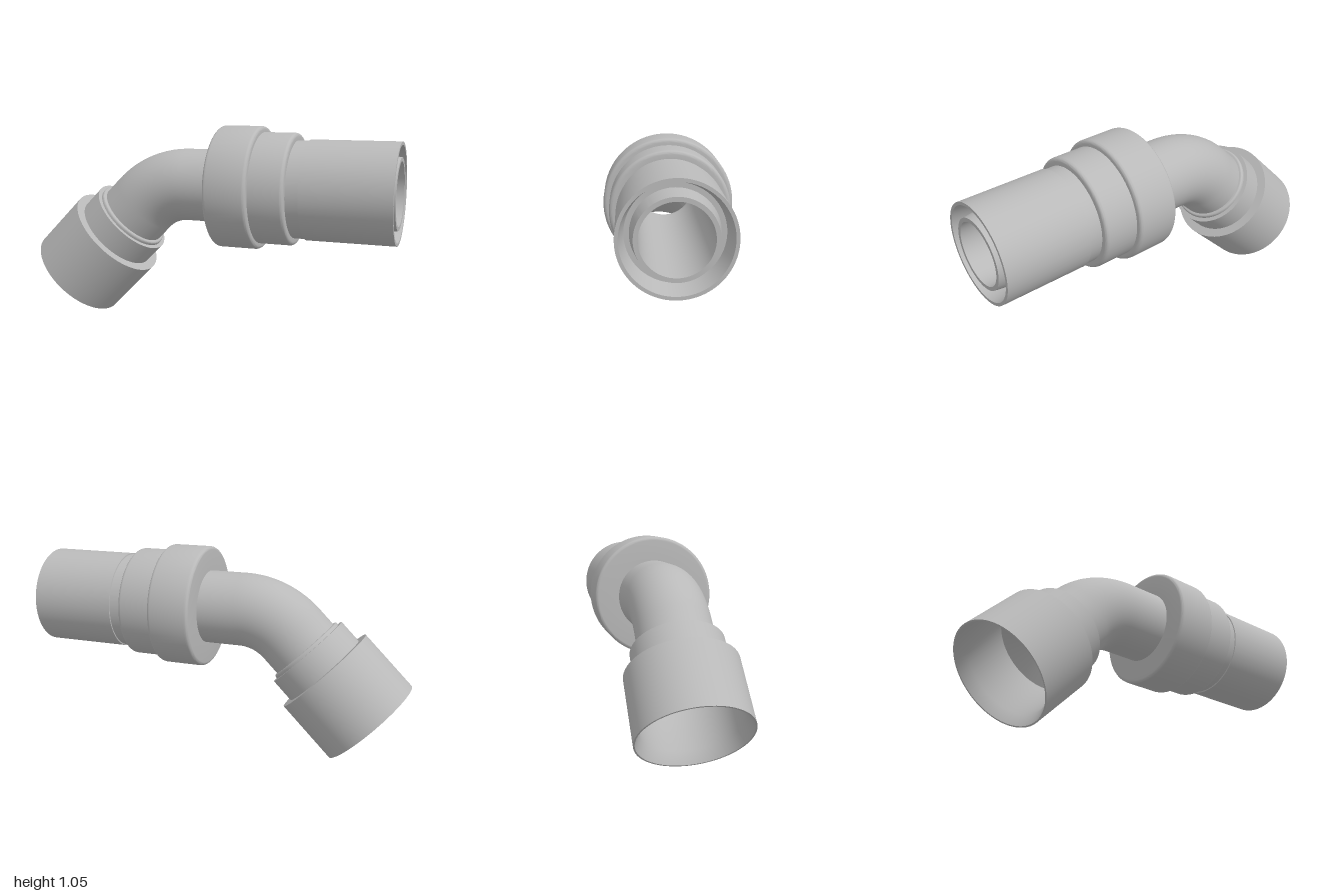
import * as THREE from 'three';
import { toCreasedNormals } from 'three/addons/utils/BufferGeometryUtils.js';

const AXIS_Y = 0.735;   // height of the straight pipe's axis
const BEND_X = -0.11;   // where the bend begins
const BEND_R = 0.375;   // centreline radius of the 45 degree bend
const BORE = 0.16;

// Pipe centreline: straight, 45 degree arc, straight
class ElbowCurve extends THREE.Curve {
  constructor(startX, tail) {
    super();
    this.startX = startX;
    this.run = startX - BEND_X;
    this.arc = BEND_R * Math.PI / 4;
    this.total = this.run + this.arc + tail;
  }
  getPoint(t, target = new THREE.Vector3()) {
    const s = t * this.total;
    if (s <= this.run) return target.set(this.startX - s, AXIS_Y, 0);
    const a = Math.min((s - this.run) / BEND_R, Math.PI / 4);
    const extra = Math.max(0, s - this.run - this.arc);
    return target.set(
      BEND_X - BEND_R * Math.sin(a) - extra * Math.SQRT1_2,
      AXIS_Y - BEND_R * (1 - Math.cos(a)) - extra * Math.SQRT1_2, 0);
  }
}

// Points of a quarter-round edge: centre (r, y), radius f, from angle a0 to a1
function fillet(r, y, f, a0, a1) {
  return Array.from({ length: 6 }, (_, i) => {
    const a = a0 + (a1 - a0) * i / 5;
    return [r + f * Math.cos(a), y + f * Math.sin(a)];
  });
}

// Collar section with rounded outer edges between y0 and y1
function roundedBand(radius, y0, y1, f) {
  return [
    ...fillet(radius - f, y0 + f, f, -Math.PI / 2, 0),
    ...fillet(radius - f, y1 - f, f, 0, Math.PI / 2),
  ];
}

function turned(name, profile, material) {
  const points = profile.map(([r, y]) => new THREE.Vector2(r, y));
  const geometry = toCreasedNormals(new THREE.LatheGeometry(points, 96), 0.45);
  const mesh = new THREE.Mesh(geometry, material);
  mesh.name = name;
  return mesh;
}

export function createModel() {
  const group = new THREE.Group();
  group.name = 'pipeElbowFitting';
  const metal = new THREE.MeshStandardMaterial({ color: 0xb9b9b9, side: THREE.DoubleSide });
  metal.name = 'greyMetal';

  // Bent pipe: outer skin and bore
  const path = new ElbowCurve(0.1, 0.2);
  for (const [name, radius] of [['elbowPipe', 0.192], ['elbowBore', BORE]]) {
    const mesh = new THREE.Mesh(new THREE.TubeGeometry(path, 90, radius, 72, false), metal);
    mesh.name = name;
    group.add(mesh);
  }

  // Straight coupling: two rounded collars, a neck and a sleeve with a tapered end groove
  const coupling = turned('straightCoupling', [
    [BORE, 0.08],
    ...roundedBand(0.319, 0.08, 0.305, 0.018),
    [0.268, 0.305],
    [0.288, 0.306],
    ...fillet(0.27, 0.467, 0.018, 0, Math.PI / 2),
    [0.25, 0.485],
    [0.25, 0.55],
    [0.256, 0.551],
    [0.256, 1],
    [0.24, 1],
    [0.218, 0.88],
    [0.195, 0.88],
    [0.18, 1],
    [BORE, 1],
    [BORE, 0.08],
  ], metal);
  coupling.position.y = AXIS_Y;
  coupling.rotation.z = -Math.PI / 2;
  group.add(coupling);

  // Angled socket: stepped sleeve, open at its lower end
  const socket = turned('angledSocket', [
    [BORE, -0.5],
    [0.2, -0.5],
    ...fillet(0.2, -0.49, 0.01, -Math.PI / 2, 0),
    [0.21, -0.48],
    [0.232, -0.48],
    [0.232, -0.35],
    [0.28, -0.35],
    [0.28, 0],
    [0.272, 0],
    [0.245, -0.06],
    [0.245, -0.3],
    [BORE, -0.36],
    [BORE, -0.42],
  ], metal);
  socket.position.set(-0.8, 0.2, 0);
  socket.rotation.z = Math.PI * 0.75;
  group.add(socket);

  return group;
}
